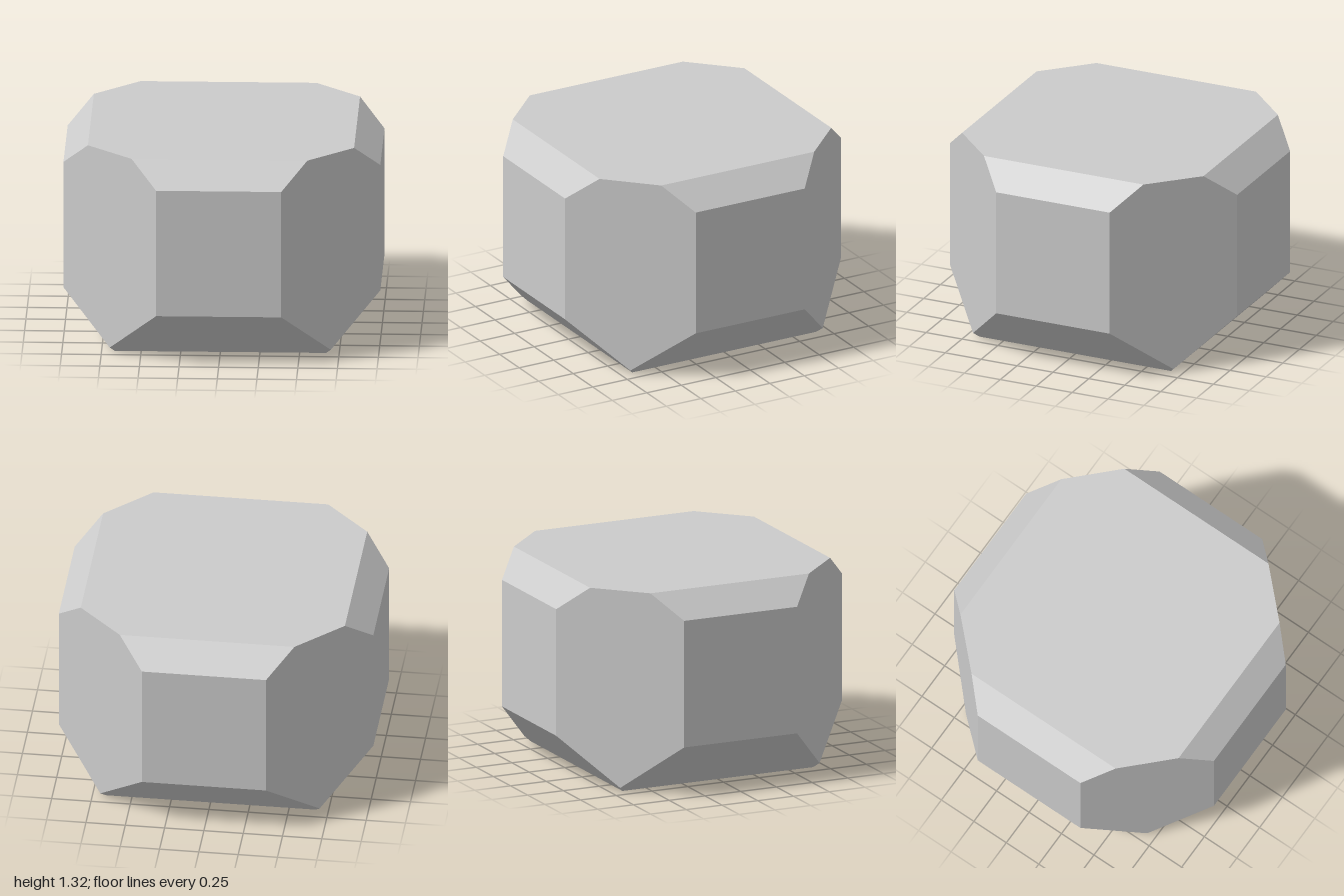
import * as THREE from 'three';
import { ConvexGeometry } from 'three/addons/geometries/ConvexGeometry.js';

const HEIGHT = 1.32;
const BASE = 0.667; // half width of the square base
const TOP = 0.84; // half width of the top face
const CORNER = 1.395; // |x| + |z| on the vertical corner facets

export function createModel() {
  const group = new THREE.Group();
  group.name = 'facetedBlock';

  // Corner points of one quadrant, from the base up
  const mid = CORNER / 2;
  const quadrant = [
    [BASE, 0, BASE],
    [mid, mid - BASE, mid], // foot of the corner facet
  ];
  // Rings of the 45 degree bevels: [half width, height]
  const rings = [
    [1, 1 - BASE],
    [1, HEIGHT - (1 - TOP)],
    [TOP, HEIGHT],
  ];
  for (const [r, y] of rings) {
    quadrant.push([r, y, CORNER - r], [CORNER - r, y, r]);
  }

  // Mirror the quadrant in x and z
  const points = [];
  for (const sx of [1, -1]) {
    for (const sz of [1, -1]) {
      for (const [x, y, z] of quadrant) points.push(new THREE.Vector3(sx * x, y, sz * z));
    }
  }

  const material = new THREE.MeshStandardMaterial({ color: 0xcccccc, flatShading: true });
  const block = new THREE.Mesh(new ConvexGeometry(points), material);
  block.name = 'block';
  group.add(block);
  return group;
}
